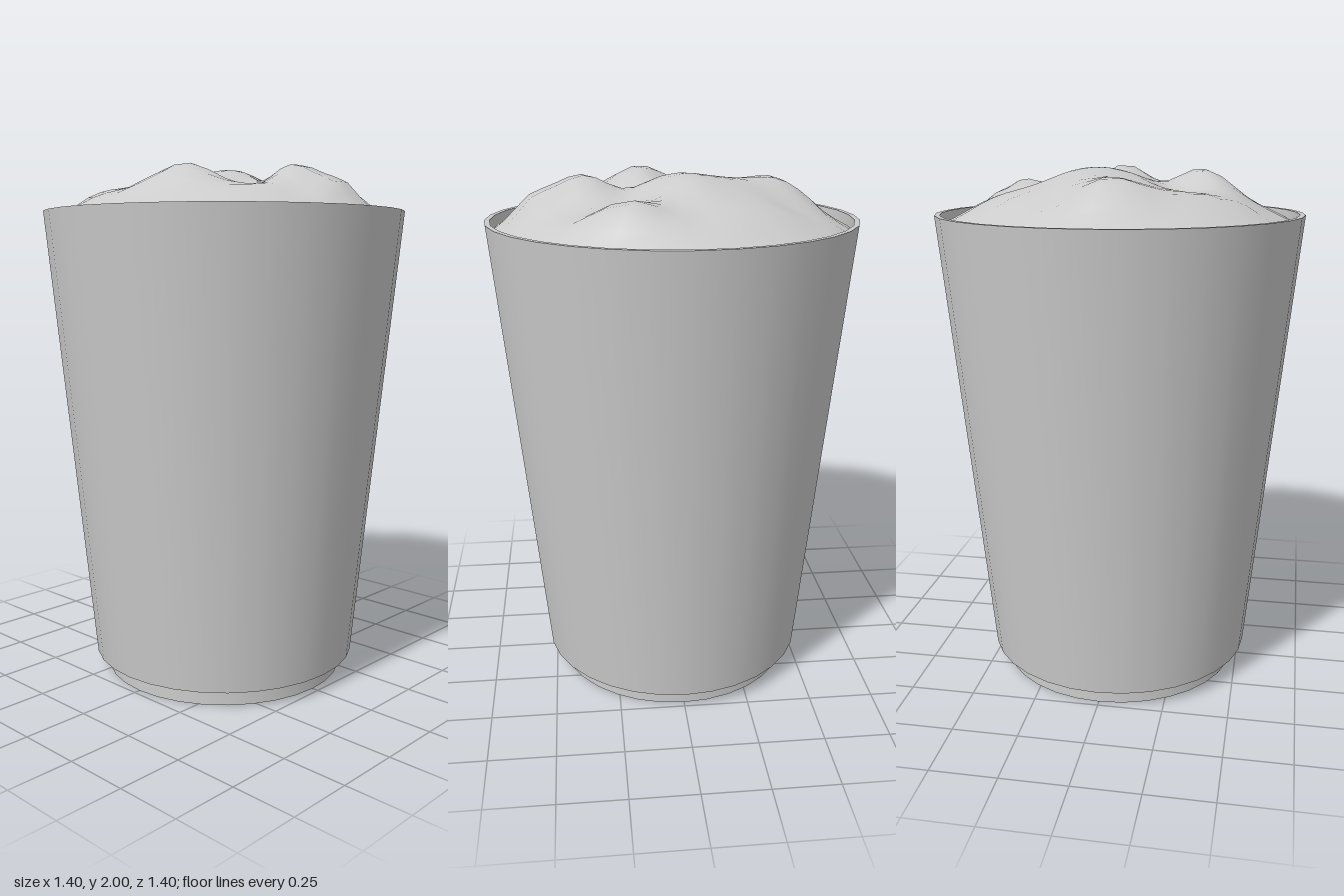
import * as THREE from 'three';
import { mergeVertices, toCreasedNormals } from 'three/addons/utils/BufferGeometryUtils.js';

const SIDES = 32;
const FILL_RADIUS = 0.675;
const FILL_EDGE = 1.79;
const TOP = 2;

// Lumps and dents of the filling: x, z, height, spread
const LUMPS = [
  [-0.38, 0.05, 0.075, 0.11],
  [-0.05, -0.06, 0.08, 0.13],
  [0.34, -0.03, 0.085, 0.09],
  [0.52, -0.05, 0.07, 0.08],
  [0.09, 0.31, 0.085, 0.1],
  [-0.25, 0.36, 0.03, 0.1],
  [0.2, -0.45, 0.065, 0.1],
  [-0.2, -0.3, 0.025, 0.12],
  [0.4, 0.3, 0.02, 0.1],
  [-0.06, 0.24, -0.035, 0.07],
  [0.18, 0.1, -0.03, 0.08],
  [0.2, -0.2, -0.02, 0.09],
];

function fillHeight(x, z) {
  const r = Math.min(1, Math.hypot(x, z) / FILL_RADIUS);
  let h = 0.13 * (1 - r ** 3);
  const fade = Math.min(1, (1 - r) * 5);
  for (const [lx, lz, height, spread] of LUMPS) {
    const d2 = (x - lx) ** 2 + (z - lz) ** 2;
    h += fade * height * Math.exp(-d2 / (2 * spread * spread));
  }
  // small uneven ripples
  return h + fade * 0.008 * Math.sin(17 * x + 5 * z) * Math.cos(15 * z - 6 * x);
}

// Tapered cup with a thin wall, a stepped foot and a recessed underside
function makeCup() {
  const profile = [
    [0, 0.04], [0.45, 0.04], [0.455, 0], [0.475, 0], [0.475, 0.07], [0.525, 0.07],
    [0.7, 1.83], [0.68, 1.83], [0.505, 0.12], [0, 0.12],
  ].map(([r, y]) => new THREE.Vector2(r, y));
  return toCreasedNormals(new THREE.LatheGeometry(profile, SIDES), Math.PI / 6);
}

// Lumpy mound, raised from a flat disc of rings
function makeFilling() {
  let geo = new THREE.RingGeometry(0, FILL_RADIUS, SIDES, 14);
  geo.rotateX(-Math.PI / 2);
  geo.deleteAttribute('uv');
  geo.deleteAttribute('normal');
  geo = mergeVertices(geo, 1e-5);
  const pos = geo.attributes.position;
  let peak = 0;
  for (let i = 0; i < pos.count; i++) {
    pos.setY(i, fillHeight(pos.getX(i), pos.getZ(i)));
    peak = Math.max(peak, pos.getY(i));
  }
  geo.scale(1, (TOP - FILL_EDGE) / peak, 1);
  geo.translate(0, FILL_EDGE, 0);
  geo.computeVertexNormals();
  return geo;
}

export function createModel() {
  const group = new THREE.Group();
  group.name = 'filledCup';

  const cup = new THREE.Mesh(makeCup(), new THREE.MeshStandardMaterial({ color: 0xcccccc }));
  cup.name = 'cup';
  const filling = new THREE.Mesh(
    makeFilling(),
    new THREE.MeshStandardMaterial({ color: 0xcccccc, side: THREE.DoubleSide }),
  );
  filling.name = 'filling';

  group.add(cup, filling);
  return group;
}
